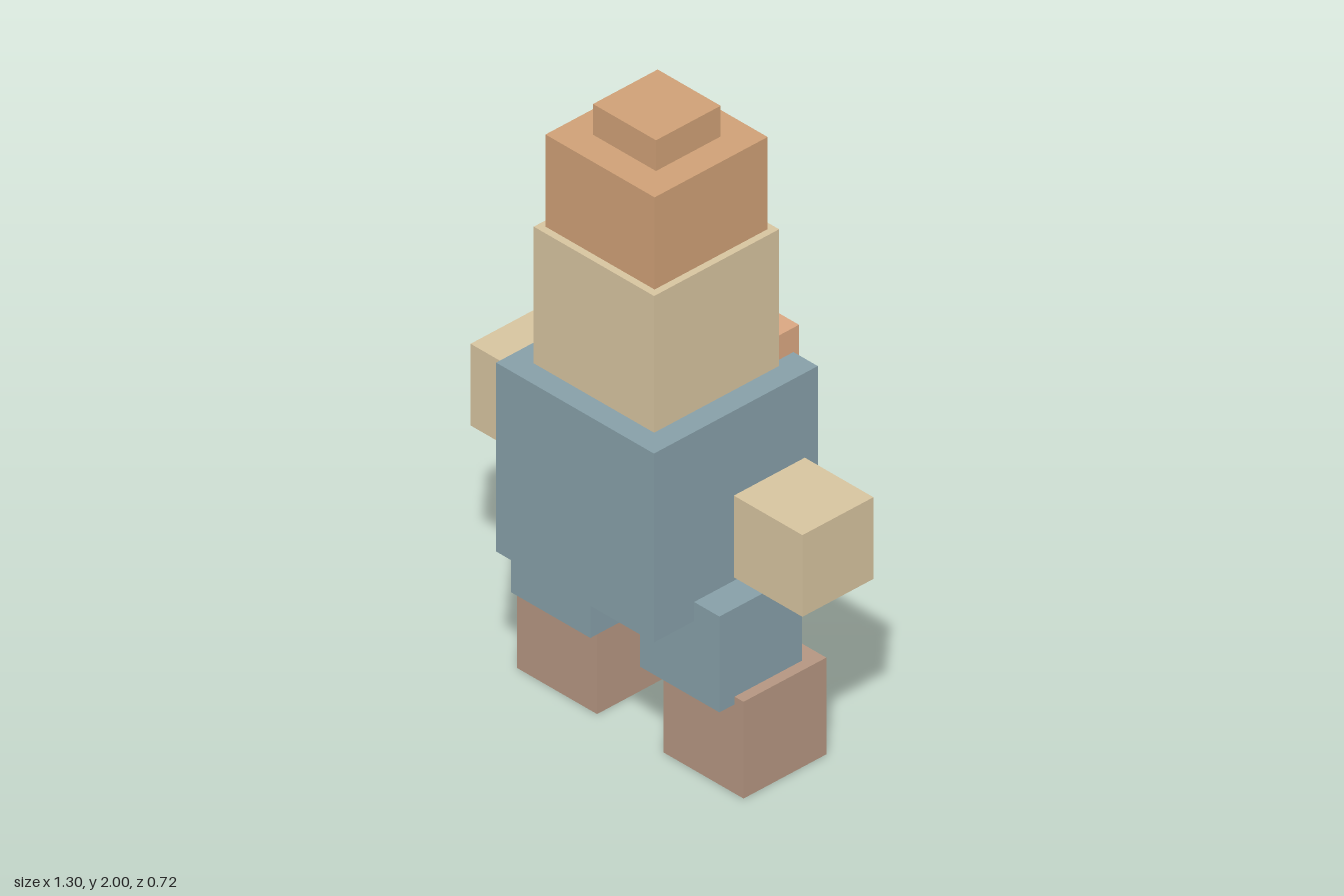
import * as THREE from 'three';

const mat = (color) => new THREE.MeshStandardMaterial({ color, flatShading: true });

export function createModel() {
  const group = new THREE.Group();
  const cloth = mat(0x87a0a9), skin = mat(0xd8c5a0), hat = mat(0xd0a177);
  const boot = mat(0xb69782), pack = mat(0xd5d0cb), tuft = mat(0xdba882);

  // Box given by its extents along each axis
  function block(name, material, [x0, x1], [y0, y1], [z0, z1]) {
    const mesh = new THREE.Mesh(new THREE.BoxGeometry(x1 - x0, y1 - y0, z1 - z0), material);
    mesh.position.set((x0 + x1) / 2, (y0 + y1) / 2, (z0 + z1) / 2);
    mesh.name = name;
    group.add(mesh);
  }

  // Mirrored pair of blocks
  function pair(name, material, [x0, x1], y, z) {
    block('left' + name, material, [x0, x1], y, z);
    block('right' + name, material, [-x1, -x0], y, z);
  }

  // Body and head
  block('torso', cloth, [-0.308, 0.308], [0.54, 1.155], [-0.26, 0.356]);
  block('head', skin, [-0.235, 0.235], [1.13, 1.6], [-0.185, 0.285]);

  // Stepped hat
  block('hatBase', hat, [-0.213, 0.213], [1.475, 1.9], [-0.163, 0.262]);
  block('hatTop', hat, [-0.123, 0.123], [1.755, 2], [-0.073, 0.17]);

  // Floating hands, legs and boots
  pair('Hand', skin, [0.38, 0.648], [0.68, 0.946], [-0.142, 0.125]);
  pair('Leg', cloth, [0.097, 0.407], [0.29, 0.602], [-0.105, 0.205]);
  pair('Boot', boot, [0.13, 0.442], [0, 0.315], [-0.163, 0.148]);

  // Items on the back
  block('backpack', pack, [-0.156, 0.156], [0.692, 1.004], [-0.36, -0.05]);
  block('backTuft', tuft, [0.014, 0.213], [1.032, 1.234], [-0.281, -0.08]);

  return group;
}
